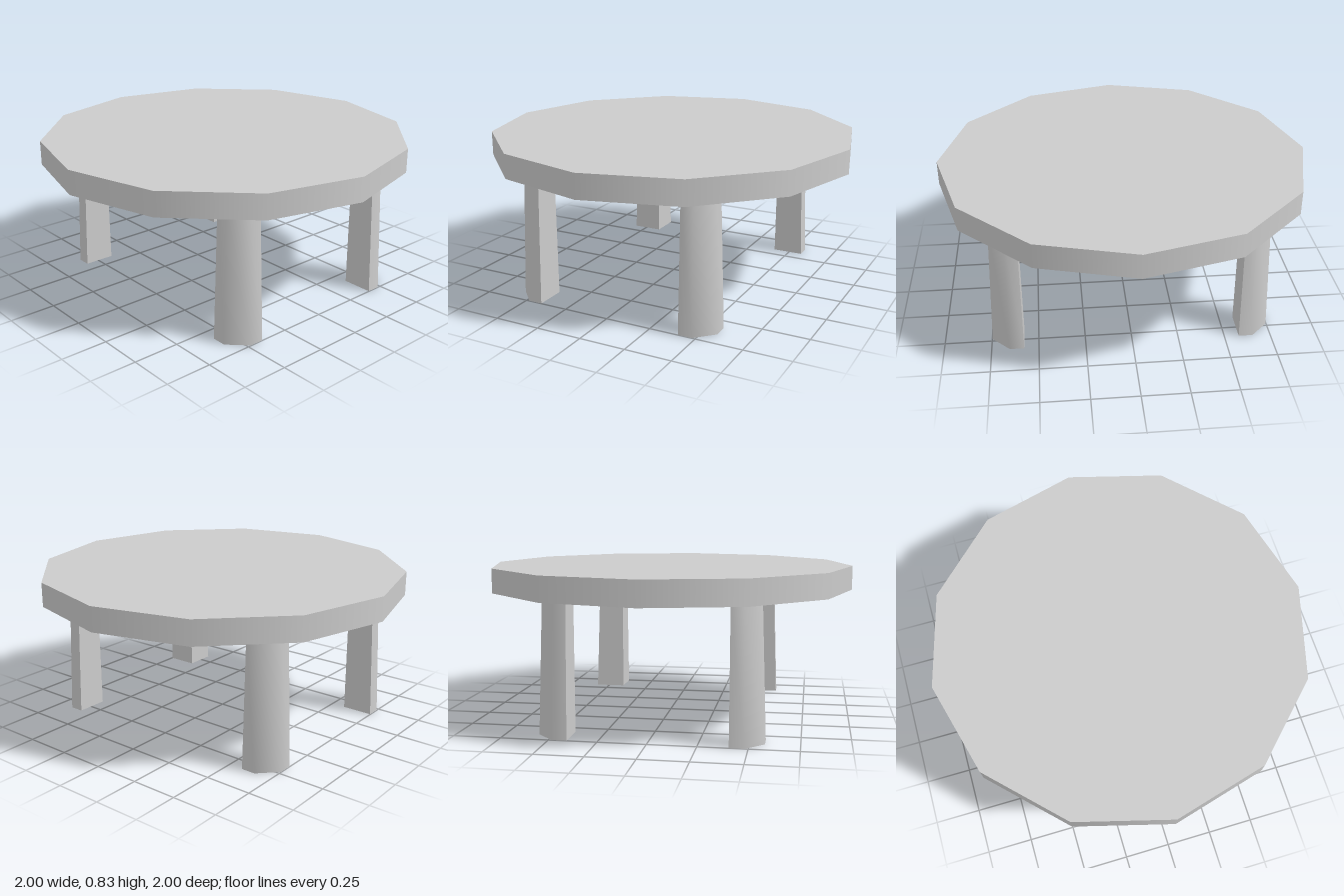
import * as THREE from 'three';
import { toCreasedNormals } from 'three/addons/utils/BufferGeometryUtils.js';

const TOP_Y = 0.835, UNDERSIDE_Y = 0.705;
const LEG_WIDTH = 0.17, LEG_TAPER = 0.15;

// Leg with a square inner corner at its origin and a rounded outer corner,
// tapering upward towards the inner corner
function legGeometry(sx, sz) {
  const w = LEG_WIDTH, c = w * 0.45;
  const outline = [[0, 0], [w, 0], [w, c], [c, w], [0, w]];
  const shape = new THREE.Shape(outline.map(([x, z]) => new THREE.Vector2(sx * x, -sz * z)));
  const geometry = new THREE.ExtrudeGeometry(shape, { depth: UNDERSIDE_Y, bevelEnabled: false });
  geometry.rotateX(-Math.PI / 2);
  const p = geometry.attributes.position;
  for (let i = 0; i < p.count; i++) {
    const k = 1 - LEG_TAPER * p.getY(i) / UNDERSIDE_Y;
    p.setX(i, p.getX(i) * k);
    p.setZ(i, p.getZ(i) * k);
  }
  return toCreasedNormals(geometry, 1.0);
}

export function createModel() {
  const table = new THREE.Group();
  table.name = 'table';
  const material = new THREE.MeshStandardMaterial({ color: 0xcccccc });

  // Twelve-sided top with a smooth-shaded rim
  const top = new THREE.Mesh(new THREE.CylinderGeometry(1, 1, TOP_Y - UNDERSIDE_Y, 12), material);
  top.name = 'tableTop';
  top.position.y = (TOP_Y + UNDERSIDE_Y) / 2;
  table.add(top);

  // Four legs, rounded side outward
  for (const sx of [-1, 1]) {
    for (const sz of [-1, 1]) {
      const leg = new THREE.Mesh(legGeometry(sx, sz), material);
      leg.name = (sz > 0 ? 'front' : 'back') + (sx > 0 ? 'Left' : 'Right') + 'Leg';
      leg.position.set(sx * 0.578, 0, sz * 0.406);
      table.add(leg);
    }
  }
  return table;
}
